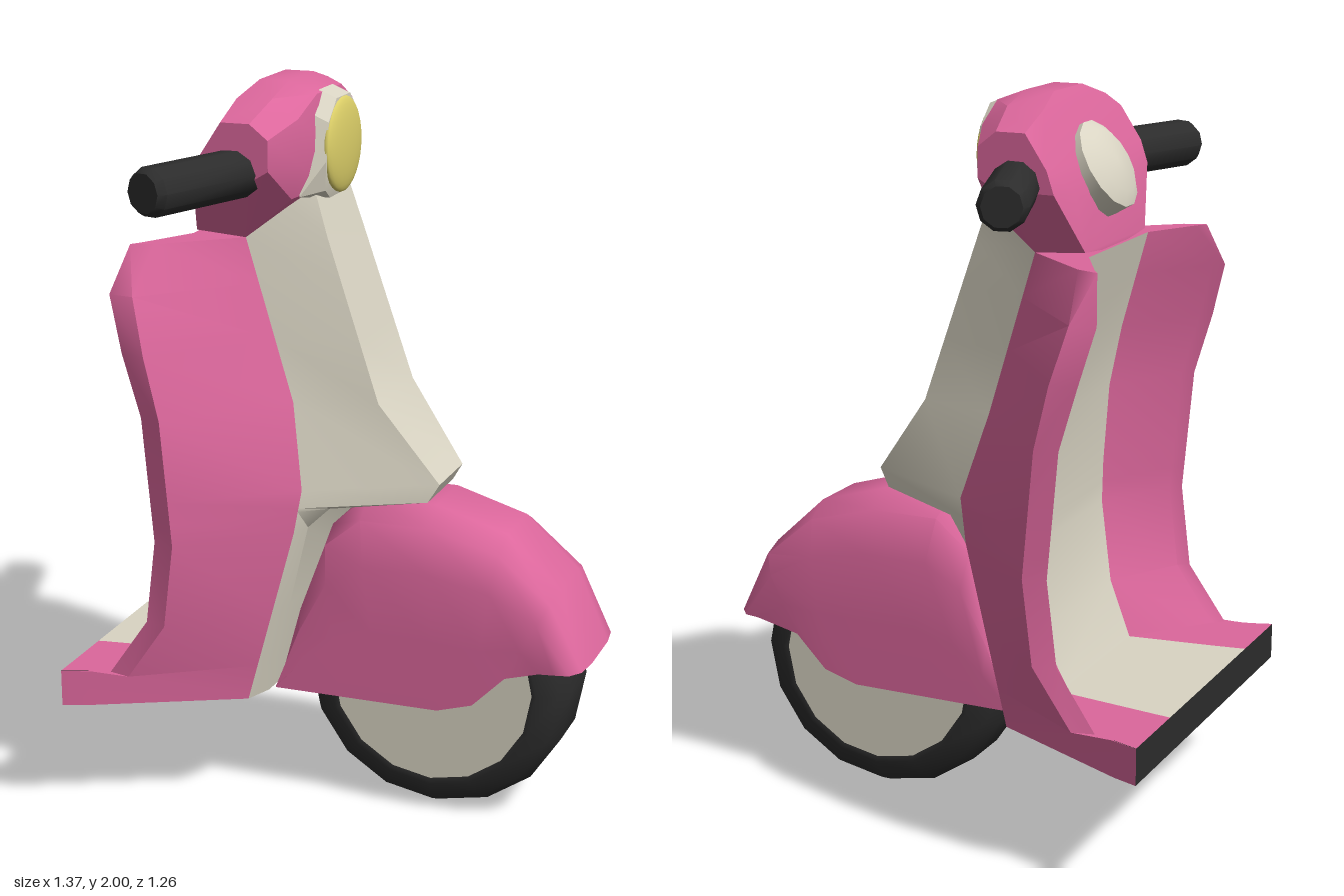
import * as THREE from 'three';
import { toCreasedNormals } from 'three/addons/utils/BufferGeometryUtils.js';
import { ConvexGeometry } from 'three/addons/geometries/ConvexGeometry.js';

const V = (x, y, z) => new THREE.Vector3(x, y, z);

// Surface through equally long rows of points
function loft(rows, crease = 0.6) {
  const g = new THREE.BufferGeometry().setFromPoints(rows.flat());
  const n = rows[0].length, index = [];
  for (let i = 0; i < rows.length - 1; i++)
    for (let j = 0; j < n - 1; j++) {
      const a = i * n + j, b = a + n;
      index.push(a, b, a + 1, b, b + 1, a + 1);
    }
  g.setIndex(index);
  return toCreasedNormals(g, crease);
}

// Interpolates a table of [y, x, z] rows at height y; side mirrors z
function at(table, y, side = 1) {
  let i = 0;
  while (i < table.length - 2 && y > table[i + 1][0]) i++;
  const [a, b] = [table[i], table[i + 1]];
  const t = THREE.MathUtils.clamp((y - a[0]) / (b[0] - a[0]), 0, 1);
  return V(a[1] + (b[1] - a[1]) * t, y, (a[2] + (b[2] - a[2]) * t) * side);
}

// Lines running up the leg shield: [y, x, z]
const rearEdge = [[0.33, -0.69, 0.515], [0.43, -0.69, 0.515], [0.431, -0.56, 0.475], [0.59, -0.45, 0.47],
  [0.81, -0.42, 0.47], [1.16, -0.45, 0.47], [1.33, -0.5, 0.47], [1.48, -0.54, 0.45], [1.6, -0.51, 0.38]];
const shoulder = [[0.33, -0.62, 0.49], [0.43, -0.62, 0.49], [0.431, -0.5, 0.49], [0.59, -0.39, 0.49],
  [0.81, -0.36, 0.49], [1.16, -0.39, 0.49], [1.33, -0.43, 0.49], [1.48, -0.47, 0.46], [1.6, -0.45, 0.36]];
const seam = [[0.33, -0.23, 0.3], [0.82, -0.1, 0.28], [0.94, -0.08, 0.27], [1.16, -0.13, 0.2],
  [1.6, -0.26, 0.2], [1.72, -0.2, 0.17]];
const nose = [[0.33, -0.2, 0.22], [0.83, -0.08, 0.22], [0.88, -0.02, 0.22], [0.89, 0.22, 0.11],
  [0.94, 0.25, 0.1], [1.16, 0.09, 0.14], [1.6, -0.057, 0.13], [1.72, -0.095, 0.12]];
const innerRim = [[0.431, -0.53, 0.45], [0.59, -0.42, 0.45], [0.81, -0.39, 0.45], [1.16, -0.42, 0.45],
  [1.33, -0.47, 0.45], [1.48, -0.51, 0.43], [1.6, -0.49, 0.35]];
const innerWall = [[0.431, -0.36, 0.24], [0.59, -0.3, 0.24], [0.81, -0.27, 0.24], [1.1, -0.28, 0.23],
  [1.33, -0.33, 0.22], [1.6, -0.41, 0.2]];
const levels = [0.33, 0.43, 0.431, 0.59, 0.82, 0.88, 0.89, 0.94, 1.16, 1.33, 1.48, 1.6];

export function createModel() {
  const root = new THREE.Group();
  root.name = 'scooterFront';
  const mat = (name, color) => {
    const m = new THREE.MeshStandardMaterial({ color, side: THREE.DoubleSide });
    m.name = name;
    return m;
  };
  const pink = mat('pinkPaint', 0xdc679c);
  const cream = mat('creamPaint', 0xd9d4c3);
  const black = mat('blackRubber', 0x2c2c2c);
  const yellow = mat('yellowLens', 0xdccf68);
  const add = (name, geo, material) => {
    const m = new THREE.Mesh(geo, material);
    m.name = name;
    root.add(m);
    return m;
  };

  // Leg shield wings, inner walls and top edge
  const upper = levels.filter((y) => y > 0.43);
  for (const s of [1, -1]) {
    const tag = s > 0 ? 'Right' : 'Left';
    add('shieldOuter' + tag, loft(levels.map((y) => [rearEdge, shoulder, seam].map((t) => at(t, y, s)))), pink);
    add('shieldInner' + tag, loft(upper.map((y) => [innerWall, innerRim, rearEdge].map((t) => at(t, y, s)))), pink);
    add('shieldTop' + tag, loft([
      [rearEdge, shoulder, seam].map((t) => at(t, 1.6, s)),
      [innerRim, innerRim, innerWall].map((t) => at(t, 1.6, s))]), pink);
    add('floorEdge' + tag, loft([
      [V(-0.69, 0.431, 0.515 * s), V(-0.62, 0.431, 0.49 * s), V(-0.5, 0.431, 0.485 * s)],
      [V(-0.69, 0.431, 0.285 * s), V(-0.6, 0.431, 0.271 * s), V(-0.36, 0.431, 0.24 * s)]]), pink);
  }
  add('shieldTopCentre', loft([innerWall, seam].map((t) => [at(t, 1.6, 1), at(t, 1.6, -1)])), pink);
  add('innerPanel', loft(upper.map((y) => [at(innerWall, y, 1), at(innerWall, y, -1)])), cream);
  add('floorMat', loft([-1, 1].map((s) => [V(-0.69, 0.431, 0.285 * s), V(-0.36, 0.431, 0.24 * s)])), cream);

  // Front column with its overhanging nose
  add('frontColumn', loft([...levels, 1.72].map((y) =>
    [at(seam, y, 1), at(nose, y, 1), at(nose, y, -1), at(seam, y, -1)])), cream);

  // Underside and cut rear face of the floor
  add('underside', loft([1, -1].map((s) => [rearEdge, shoulder, seam, nose].map((t) => at(t, 0.33, s)))), black);
  add('floorRear', loft([0.33, 0.431].map((y) => [V(-0.69, y, -0.515), V(-0.69, y, 0.515)])), black);

  // Front fender: arched sections from a lower edge to a crown
  const stations = [ // bottom x, y, crown x, y, width
    [-0.19, 0.33, -0.19, 0.335, 1], [-0.1, 0.33, -0.13, 0.58, 1], [0, 0.33, -0.06, 0.79, 1],
    [0.12, 0.33, 0.04, 0.88, 1], [0.28, 0.33, 0.24, 0.88, 1], [0.38, 0.36, 0.44, 0.82, 1],
    [0.47, 0.45, 0.59, 0.68, 0.99], [0.56, 0.472, 0.68, 0.48, 0.94]];
  const arch = [[0, 0.2], [0.35, 0.2], [0.7, 0.198], [0.92, 0.165], [1, 0.09]];
  const fullArch = [...arch, ...arch.map(([u, z]) => [u, -z]).reverse()];
  add('frontFender', loft(stations.map(([bx, by, tx, ty, w]) =>
    fullArch.map(([u, z]) => V(bx + (tx - bx) * u, by + (ty - by) * u, z * w))), 0.9), pink);

  // Wheel
  const half = [[0.28, 0.14], [0.3, 0.15], [0.355, 0.125], [0.38, 0.075]];
  const profile = [...half.map(([r, z]) => [r, -z]), ...half.slice().reverse()]
    .map(([r, z]) => new THREE.Vector2(r, z));
  const tyre = add('tyre', new THREE.LatheGeometry(profile, 16), black);
  const disc = add('wheelDisc', new THREE.CylinderGeometry(0.288, 0.288, 0.286, 32), cream);
  for (const m of [tyre, disc]) {
    m.rotation.x = Math.PI / 2;
    m.position.set(0.245, 0.385, 0);
  }

  // Handlebar housing, hulled from side sections [x, y] at several z
  const hull = (sections) => toCreasedNormals(new ConvexGeometry(
    sections.flatMap(([z, pts]) => pts.flatMap(([x, y]) => [V(x, y, z), V(x, y, -z)]))), 0.5);
  add('handlebarHousing', hull([
    [0.09, [[-0.4, 1.6], [-0.38, 1.72], [-0.26, 2], [-0.18, 2], [-0.1, 1.97], [-0.08, 1.85], [-0.1, 1.72]]],
    [0.2, [[-0.4, 1.61], [-0.37, 1.76], [-0.28, 1.965], [-0.18, 1.97], [-0.11, 1.92], [-0.1, 1.8], [-0.13, 1.71], [-0.26, 1.6]]],
    [0.31, [[-0.36, 1.77], [-0.34, 1.83], [-0.28, 1.92], [-0.2, 1.92], [-0.15, 1.88], [-0.15, 1.8], [-0.2, 1.77]]],
  ]), pink);

  // Headlight surround and lens
  add('headlightSurround', hull([
    [0.17, [[-0.12, 1.71]]], [0.145, [[-0.11, 1.83]]], [0.12, [[-0.11, 1.925]]],
    [0.05, [[-0.11, 1.975], [-0.06, 1.955], [-0.08, 1.69]]],
    [0.13, [[-0.06, 1.8]]], [0.11, [[-0.06, 1.9], [-0.07, 1.72]]],
  ]), cream);
  const lens = add('headlightLens', new THREE.SphereGeometry(0.128, 24, 16), yellow);
  lens.scale.x = 0.2;
  lens.position.set(-0.063, 1.827, 0);

  // Instrument dial facing the rider
  const dial = add('instrumentDial', toCreasedNormals(new THREE.LatheGeometry(
    [[0.125, -0.05], [0.125, 0.02], [0.09, 0.04], [0, 0.048]].map(([r, y]) => new THREE.Vector2(r, y)), 14), 0.5), cream);
  dial.quaternion.setFromUnitVectors(V(0, 1, 0), V(-0.86, 0.5, 0).normalize());
  dial.position.set(-0.36, 1.8, 0);

  // Swept-back grips
  for (const s of [1, -1]) {
    const a = V(-0.235, 1.787, 0.26 * s), b = V(-0.36, 1.787, 0.612 * s);
    const grip = add(s > 0 ? 'gripRight' : 'gripLeft', toCreasedNormals(new THREE.LatheGeometry(
      [[0.065, -0.187], [0.065, 0.165], [0.052, 0.187], [0, 0.187]].map(([r, y]) => new THREE.Vector2(r, y)), 10), 0.7), black);
    grip.quaternion.setFromUnitVectors(V(0, 1, 0), b.clone().sub(a).normalize());
    grip.position.copy(a).add(b).multiplyScalar(0.5);
  }
  return root;
}
